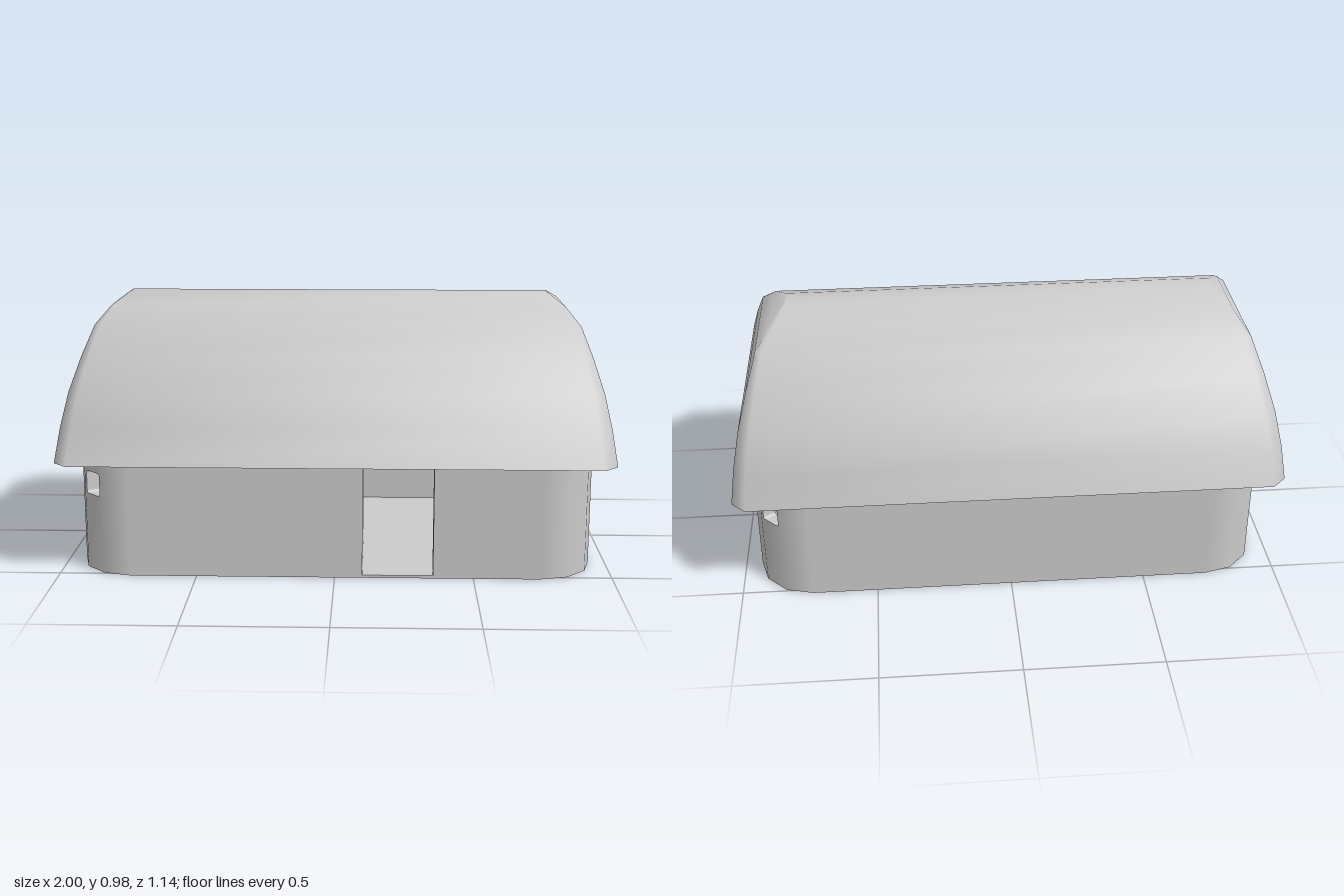
import * as THREE from 'three';
import { toCreasedNormals, mergeGeometries } from 'three/addons/utils/BufferGeometryUtils.js';

const CX = 0.74, CZ = 0.32, R = 0.2, THICK = 0.05, WALL_TOP = 0.48, FLOOR = 0.01;
const material = new THREE.MeshStandardMaterial({ color: 0xcccccc, side: THREE.DoubleSide });

// Rounded-rectangle floor plan: four corners of three segments each
function plan(r) {
  const points = [];
  [[1, 1], [-1, 1], [-1, -1], [1, -1]].forEach(([sx, sz], corner) => {
    for (let s = 0; s < 4; s++) {
      const a = (corner + s / 3) * Math.PI / 2;
      points.push(new THREE.Vector2(sx * CX + r * Math.cos(a), sz * CZ + r * Math.sin(a)));
    }
  });
  return points;
}

function roundedHole(x0, y0, x1, y1, r) {
  const p = new THREE.Path();
  p.moveTo(x0 + r, y0);
  p.lineTo(x1 - r, y0).quadraticCurveTo(x1, y0, x1, y0 + r);
  p.lineTo(x1, y1 - r).quadraticCurveTo(x1, y1, x1 - r, y1);
  p.lineTo(x0 + r, y1).quadraticCurveTo(x0, y1, x0, y1 - r);
  p.lineTo(x0, y0 + r).quadraticCurveTo(x0, y0, x0 + r, y0);
  return p;
}

// Openings by panel number: offset from panel centre, width, bottom, top, corner radius
const openings = {
  3: [0.2275, 0.255, FLOOR, 0.46, 0.001],
  5: [0, 0.08, 0.285, 0.37, 0.012],
  7: [0, 0.12, 0.28, 0.37, 0.015],
  13: [0, 0.08, 0.285, 0.37, 0.012],
  15: [0, 0.243, 0.273, 0.4, 0.018],
};

// One wall panel, mitred to its neighbours, with normals smoothed round the corners
function wallPanel(k, outer, inner) {
  const n = (k + 1) % outer.length;
  const len = outer[k].distanceTo(outer[n]);
  const shape = new THREE.Shape();
  shape.moveTo(0, 0).lineTo(len, 0).lineTo(len, WALL_TOP).lineTo(0, WALL_TOP);
  if (openings[k]) {
    const [offset, width, y0, y1, r] = openings[k];
    const mid = len / 2 + offset;
    shape.holes.push(roundedHole(mid - width / 2, y0, mid + width / 2, y1, r));
  }
  const geo = new THREE.ExtrudeGeometry(shape, { depth: 1, bevelEnabled: false, curveSegments: 4 });
  const pos = geo.attributes.position;
  const caps = [];
  const a = new THREE.Vector2(), b = new THREE.Vector2();
  for (let i = 0; i < pos.count; i++) {
    caps.push(Math.round(geo.attributes.normal.getZ(i)));
    const f = pos.getX(i) / len;
    a.lerpVectors(outer[n], outer[k], f);
    b.lerpVectors(inner[n], inner[k], f).lerp(a, pos.getZ(i));
    pos.setXYZ(i, b.x, pos.getY(i), b.y);
  }
  geo.computeVertexNormals();
  for (let i = 0; i < pos.count; i++) {
    if (!caps[i]) continue;
    const x = pos.getX(i), z = pos.getZ(i);
    a.set(x - THREE.MathUtils.clamp(x, -CX, CX), z - THREE.MathUtils.clamp(z, -CZ, CZ));
    a.normalize().multiplyScalar(caps[i]);
    geo.attributes.normal.setXYZ(i, a.x, 0, a.y);
  }
  return geo;
}

// Roof levels: height, half length, front depth, back depth
const roofLevels = [
  [0.42, 1, 0.572, 0.572],
  [0.54, 0.985, 0.51, 0.533],
  [0.655, 0.964, 0.44, 0.47],
  [0.77, 0.932, 0.338, 0.378],
  [0.87, 0.898, 0.235, 0.275],
  [0.93, 0.85, 0.138, 0.17],
  [0.968, 0.797, 0.038, 0.05],
  [0.975, 0.785, 0, 0],
];

function roofRing([y, X, zf, zb]) {
  const c = 0.05 * (zf + zb) / 1.144;
  return [[X, c - zb], [X, zf - c], [X - c, zf], [c - X, zf],
    [-X, zf - c], [-X, c - zb], [c - X, -zb], [X - c, -zb]].map(([x, z]) => [x, y, z]);
}

// Hollow roof shell lofted from inner ridge down to the rim and up to the outer ridge
function roofGeometry() {
  const t = 0.028;
  const innerLevels = roofLevels.map(([y, X, zf, zb]) =>
    [0.42 + (y - 0.42) * 0.95, X - t, Math.max(zf - t, 0), Math.max(zb - t, 0)]).reverse();
  const rings = [...innerLevels, ...roofLevels].map(roofRing);
  const verts = [];
  for (let i = 0; i < rings.length - 1; i++) {
    for (let j = 0; j < 8; j++) {
      const m = (j + 1) % 8;
      const a = rings[i][j], b = rings[i][m], u = rings[i + 1][j], v = rings[i + 1][m];
      verts.push(...a, ...u, ...b, ...u, ...v, ...b);
    }
  }
  const geo = new THREE.BufferGeometry();
  geo.setAttribute('position', new THREE.Float32BufferAttribute(verts, 3));
  return toCreasedNormals(geo, 0.9);
}

export function createModel() {
  const model = new THREE.Group();
  const add = (name, geo) => {
    const mesh = new THREE.Mesh(geo, material);
    mesh.name = name;
    model.add(mesh);
  };
  const addBox = (name, x0, x1, y0, y1, z0, z1) => add(name,
    new THREE.BoxGeometry(x1 - x0, y1 - y0, z1 - z0)
      .translate((x0 + x1) / 2, (y0 + y1) / 2, (z0 + z1) / 2));

  // Walls with doorway and windows
  const outer = plan(R), inner = plan(R - THICK);
  add('walls', mergeGeometries(outer.map((_, k) => wallPanel(k, outer, inner))));

  // Floor
  add('floor', new THREE.ExtrudeGeometry(new THREE.Shape(inner), { depth: FLOOR, bevelEnabled: false })
    .rotateX(-Math.PI / 2));

  // Inside: partition beside the doorway and shelves on the back wall
  addBox('partition', 0.07, 0.1, FLOOR, 0.5, 0.045, 0.48);
  for (let i = 0; i < 3; i++) {
    const y = 0.18 + i * 0.08;
    addBox('shelf' + (i + 1), 0.13, 0.6, y, y + 0.055, -0.475, -0.36);
  }

  // Roof
  add('roof', roofGeometry());
  return model;
}
